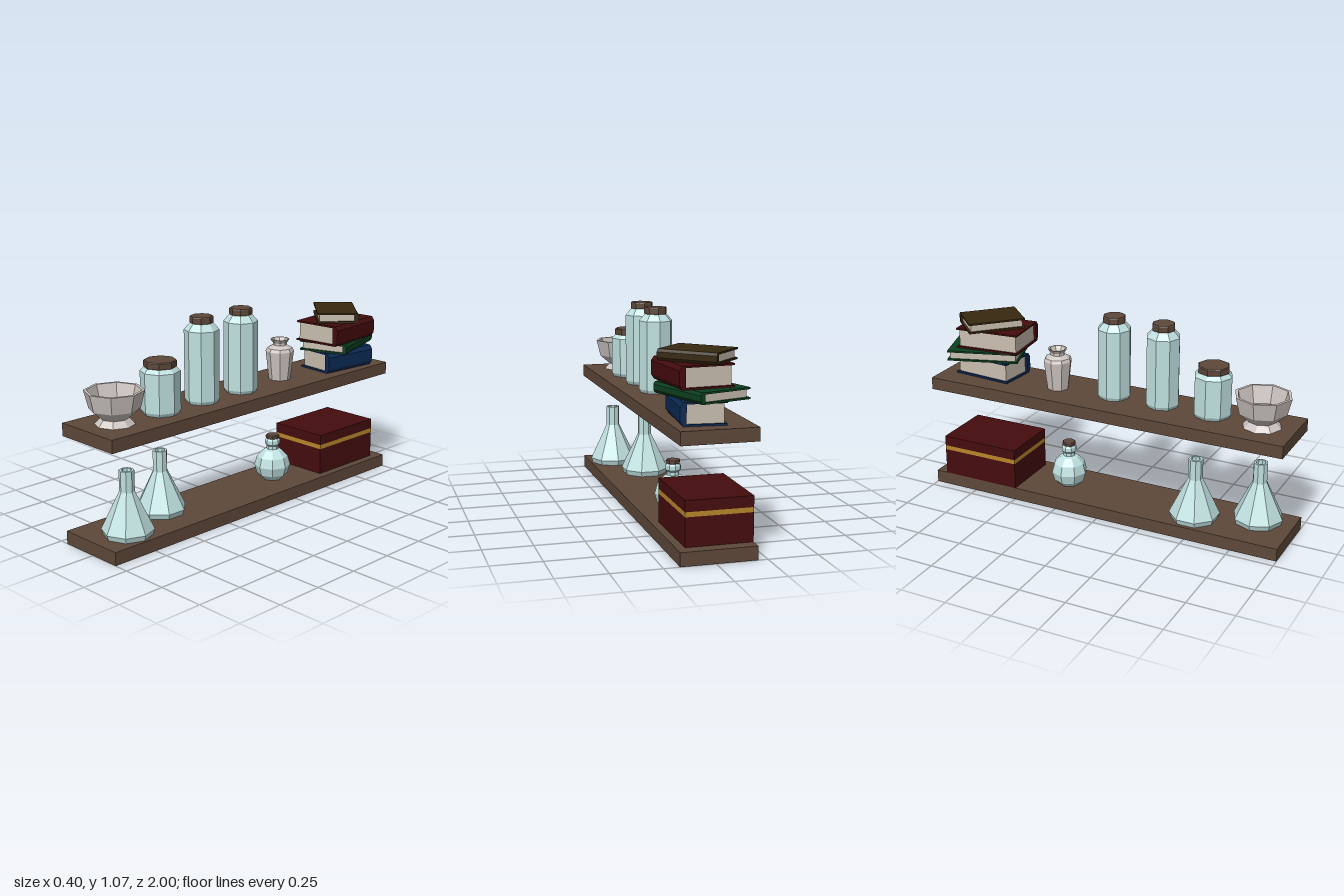
import * as THREE from 'three';

const material = (color) => new THREE.MeshStandardMaterial({ color, flatShading: true, side: THREE.DoubleSide });
const wood = material(0x5e483a);
const glass = material(0xbfe0df);
const ceramic = material(0xcdc5c1);
const paper = material(0xcabfb0);
const leather = material(0x450c0e);
const gold = material(0xb8862a);

const LOWER = 0.068; // top of the lower board
const UPPER = 0.624; // top of the upper board

export function createModel() {
  const model = new THREE.Group();

  function add(name, geometry, mat, x, y, z, parent = model) {
    const mesh = new THREE.Mesh(geometry, mat);
    mesh.name = name;
    mesh.position.set(x, y, z);
    parent.add(mesh);
    return mesh;
  }

  const box = (name, mat, w, h, d, x, y, z, parent) =>
    add(name, new THREE.BoxGeometry(w, h, d), mat, x, y + h / 2, z, parent);

  // Eight-sided turned part from [radius, height] pairs
  function turned(name, mat, profile, x, y, z, parent) {
    const points = profile.map(([r, h]) => new THREE.Vector2(r, h));
    return add(name, new THREE.LatheGeometry(points, 8), mat, x, y, z, parent);
  }

  // Two shelf boards
  box('lowerShelf', wood, 0.375, 0.068, 2, -0.015, 0, 0);
  box('upperShelf', wood, 0.375, 0.066, 2, -0.015, 0.558, 0);

  // Bowl with a flared foot and a hollow inside
  turned('bowl', ceramic, [
    [0, 0], [0.1, 0], [0.07, 0.03], [0.125, 0.078], [0.147, 0.167],
    [0.132, 0.167], [0.108, 0.078], [0, 0.072],
  ], -0.017, UPPER, 0.826);

  // Lidded jars: body radius, lid radius, total height
  function jar(x, z, r, lidR, height) {
    const group = new THREE.Group();
    group.name = 'jar';
    group.position.set(x, UPPER, z);
    const neck = height - 0.034;
    const shoulder = neck - (r - lidR) * 1.2;
    turned('jarBody', glass, [
      [0, 0], [r * 0.9, 0], [r, 0.018], [r, shoulder], [lidR * 0.97, neck], [0, neck],
    ], 0, 0, 0, group);
    turned('jarLid', wood, [
      [0, neck - 0.004], [lidR * 0.95, neck - 0.004], [lidR, neck + 0.006],
      [lidR, height - 0.005], [lidR * 0.95, height], [0, height],
    ], 0, 0, 0, group);
    model.add(group);
  }
  jar(0.004, 0.553, 0.1, 0.083, 0.269);
  jar(0.006, 0.277, 0.089, 0.06, 0.443);
  jar(0.006, 0.002, 0.089, 0.06, 0.443);

  // Small vase with a flared lip
  turned('vase', ceramic, [
    [0, 0], [0.058, 0], [0.076, 0.155], [0.068, 0.172], [0.038, 0.188], [0.038, 0.2],
    [0.052, 0.22], [0.044, 0.22], [0.032, 0.198], [0.032, 0.15], [0, 0.15],
  ], -0.018, UPPER, -0.319);

  // Conical flasks with open necks
  function flask(x, z, turn) {
    const mesh = turned('conicalFlask', glass, [
      [0, 0], [0.122, 0], [0.132, 0.028], [0.038, 0.224], [0.038, 0.332],
      [0.026, 0.332], [0.026, 0.224], [0.09, 0.06], [0, 0.05],
    ], x, LOWER, z);
    mesh.rotation.y = turn;
  }
  flask(0.04, 0.811, 0);
  flask(-0.07, 0.502, Math.PI / 8);

  // Round bottle and its stopper
  turned('roundBottle', glass, [
    [0, 0], [0.05, 0], [0.084, 0.032], [0.098, 0.08], [0.084, 0.13], [0.05, 0.165],
    [0.032, 0.172], [0.032, 0.19], [0.041, 0.2], [0.041, 0.222], [0.034, 0.232], [0, 0.232],
  ], -0.013, LOWER, -0.262);
  turned('stopper', wood, [
    [0, 0], [0.034, 0], [0.037, 0.006], [0.037, 0.016], [0.033, 0.02], [0, 0.02],
  ], -0.013, LOWER + 0.232, -0.262);

  // Chest with a flush gold band
  box('chestBase', leather, 0.333, 0.143, 0.44, -0.036, LOWER, -0.715);
  box('chestBand', gold, 0.333, 0.024, 0.44, -0.036, LOWER + 0.143, -0.715);
  box('chestLid', leather, 0.333, 0.055, 0.44, -0.036, LOWER + 0.167, -0.715);

  // Book: wraparound cover with a chamfered spine on local +x, and a page block
  function book(color, w, h, len, x, y, z, degrees) {
    const group = new THREE.Group();
    group.name = 'book';
    const t = 0.009;
    const c = Math.min(0.022, h * 0.25);
    const r = w / 2;
    const shape = new THREE.Shape([
      [-r, 0], [r - c * 0.7, 0], [r, c], [r, h - c], [r - c * 0.7, h], [-r, h],
      [-r, h - t], [r - c - t, h - t], [r - c - t, t], [-r, t],
    ].map(([a, b]) => new THREE.Vector2(a, b)));
    const cover = new THREE.ExtrudeGeometry(shape, { depth: len, bevelEnabled: false });
    add('bookCover', cover, material(color), 0, 0, -len / 2, group);
    const pageW = w - 0.016 - c;
    box('bookPages', paper, pageW, h - 2 * t, len - 0.024, -r + 0.012 + pageW / 2, t, 0, group);
    group.position.set(x, y, z);
    group.rotation.y = THREE.MathUtils.degToRad(degrees);
    model.add(group);
  }
  book(0x0c2a55, 0.22, 0.111, 0.335, 0.022, UPPER, -0.745, -5);
  book(0x0c3f20, 0.276, 0.055, 0.382, 0.002, 0.735, -0.762, 18);
  book(0x450c0e, 0.272, 0.11, 0.355, 0.032, 0.79, -0.717, 5.5);
  book(0x38280f, 0.226, 0.055, 0.304, 0.013, 0.9, -0.737, 46);

  return model;
}
